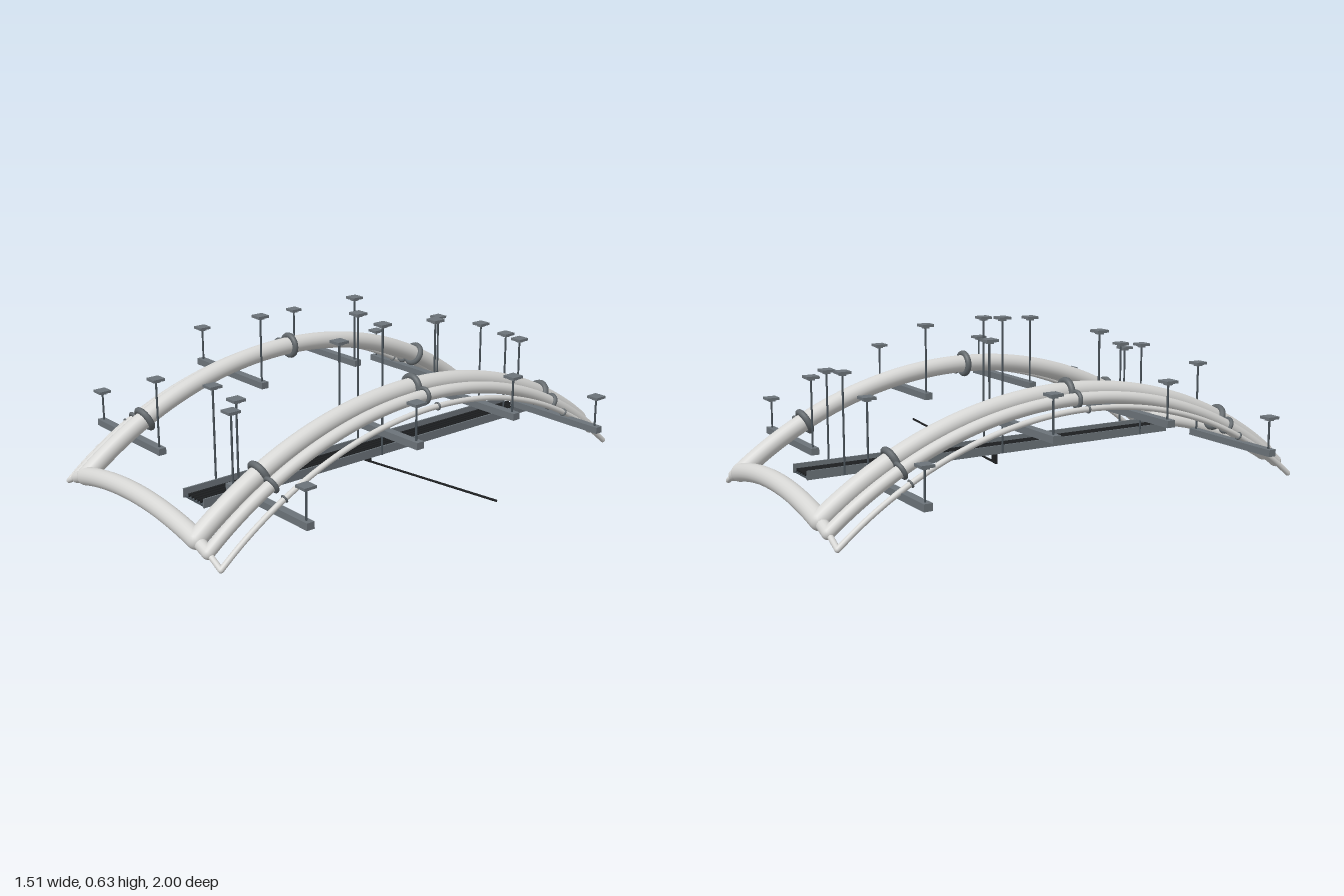
import * as THREE from 'three';

const mat = (name, color, side = THREE.FrontSide) => {
  const m = new THREE.MeshStandardMaterial({ color, side });
  m.name = name;
  return m;
};

export function createModel() {
  const root = new THREE.Group();
  root.name = 'suspendedPipework';
  const pipeMat = mat('paleGreyPipe', 0xd6d6d4);
  const ringMat = mat('couplingGrey', 0x62686c);
  const steelMat = mat('steelGrey', 0x6b7379);
  const rodMat = mat('rodGrey', 0x4a535a);
  const cableMat = mat('cableBlack', 0x1c1e20);
  const V = (x, y, z) => new THREE.Vector3(x, y, z);
  const add = (name, geo, m, x = 0, y = 0, z = 0, parent = root) => {
    const mesh = new THREE.Mesh(geo, m);
    mesh.name = name;
    mesh.position.set(x, y, z);
    parent.add(mesh);
    return mesh;
  };
  const box = (name, w, h, d, m, x, y, z, parent) =>
    add(name, new THREE.BoxGeometry(w, h, d), m, x, y, z, parent);
  // straight round bar between two points
  const bar = (name, a, b, r, m, sides, parent) =>
    add(name, new THREE.TubeGeometry(new THREE.LineCurve3(a, b), 1, r, sides), m, 0, 0, 0, parent);

  // height of a circular arch with a given crown, half span and sag
  const arch = (crown, half, sag) => {
    const R = (half * half + sag * sag) / (2 * sag);
    return t => crown - R + Math.sqrt(R * R - t * t);
  };
  const archTube = (name, half, r, toPoint, parent) => {
    const pts = [];
    for (let i = 0; i <= 32; i++) pts.push(toPoint(-half + (2 * half * i) / 32));
    add(name, new THREE.TubeGeometry(new THREE.CatmullRomCurve3(pts), 64, r, 20), pipeMat, 0, 0, 0, parent);
  };

  const CX = -0.074, END = 0.963;
  const pipes = [
    { name: 'large', dx: 0.374, r: 0.035, crown: 0.413, end: 0.078 },
    { name: 'medium', dx: 0.443, r: 0.023, crown: 0.396, end: 0.053 },
    { name: 'small', dx: 0.515, r: 0.0105, crown: 0.373, end: 0.017 },
  ];

  // arched pipes on both sides, with couplings
  for (const s of [-1, 1]) {
    const bank = new THREE.Group();
    bank.name = s > 0 ? 'leftPipeBank' : 'rightPipeBank';
    root.add(bank);
    pipes.forEach((p, i) => {
      const x = CX + s * p.dx;
      const y = arch(p.crown, END, p.crown - p.end);
      archTube(p.name + 'Pipe', END, p.r, z => V(x, y(z), z), bank);
      for (const z of [-0.7, 0, 0.7]) {
        const ring = add(p.name + 'Coupling', new THREE.TorusGeometry(p.r * 1.17, p.r * 0.36, 10, 28),
          ringMat, x, y(z), z, bank);
        ring.rotation.x = -Math.atan2(y(z + 0.01) - y(z - 0.01), 0.02);
      }
      for (const e of [-END, END]) {
        add(p.name + 'Elbow', new THREE.SphereGeometry(p.r, 20, 14), pipeMat, x, p.end, e, bank);
        // short stub turning in towards the next larger pipe
        if (i > 0) {
          const q = pipes[i - 1];
          bar(p.name + 'Stub', V(x, p.end, e), V(CX + s * q.dx, q.end, e), p.r, pipeMat, 16, bank);
        }
      }
    });
  }

  // cross pipes joining the two sides
  const big = pipes[0];
  const crossY = arch(0.124, big.dx, 0.124 - big.end);
  for (const e of [-END, END])
    archTube(e > 0 ? 'frontCrossPipe' : 'backCrossPipe', big.dx, big.r, t => V(CX + t, crossY(t), e));

  // hanger rod with ceiling plate and nut
  const hanger = (x, z, y0, y1, parent) => {
    add('hangerRod', new THREE.CylinderGeometry(0.004, 0.004, y1 - y0, 8), rodMat, x, (y0 + y1) / 2, z, parent);
    box('ceilingPlate', 0.05, 0.01, 0.05, steelMat, x, y1 - 0.003, z, parent);
    box('plateBoss', 0.024, 0.008, 0.024, steelMat, x, y1 - 0.011, z, parent);
  };

  // trapeze supports under the pipe banks
  for (const s of [-1, 1])
    for (const z of [-0.724, -0.242, 0.238, 0.72]) {
      const g = new THREE.Group();
      g.name = 'trapezeSupport';
      root.add(g);
      const high = Math.abs(z) < 0.5;
      const y = high ? 0.323 : 0.16;
      const cx = CX + s * 0.451;
      box('supportBeam', 0.462, 0.026, 0.032, steelMat, cx, y, z, g);
      hanger(cx + s * 0.208, z, y, high ? 0.474 : 0.295, g);
      hanger(cx - s * 0.208, z, y, high ? 0.604 : 0.443, g);
    }

  // ladder tray with cables
  const tray = new THREE.Group();
  tray.name = 'cableTray';
  root.add(tray);
  const TX = 0.065, TY = 0.112, LEN = 1.64;
  for (const s of [-1, 1]) {
    box('trayRail', 0.006, 0.034, LEN, steelMat, TX + s * 0.064, TY, 0, tray);
    for (const z of [-0.675, 0, 0.675])
      hanger(TX + s * 0.072, z, 0.098, (z === 0 ? 0.636 : 0.482) - (s > 0 ? 0.014 : 0), tray);
  }
  for (let i = 0; i <= 20; i++)
    box('trayRung', 0.128, 0.007, 0.012, rodMat, TX, 0.1, -0.81 + i * 0.081, tray);
  for (let i = 0; i < 5; i++) {
    const x = 0.029 + i * 0.0185;
    bar('trayCable', V(x, 0.111, -LEN / 2), V(x, 0.111, LEN / 2), 0.0065, cableMat, 8, tray);
  }

  // cables dropping from the tray and running out to the side
  for (let i = 0; i < 4; i++) {
    const x = 0.036 + i * 0.011;
    bar('dropCable', V(x, 0.11, 0), V(x, 0.046, 0), 0.004, cableMat, 8);
  }
  bar('branchCable', V(0.034, 0.047, 0), V(0.755, 0.1, 0), 0.0045, cableMat, 8);
  return root;
}
